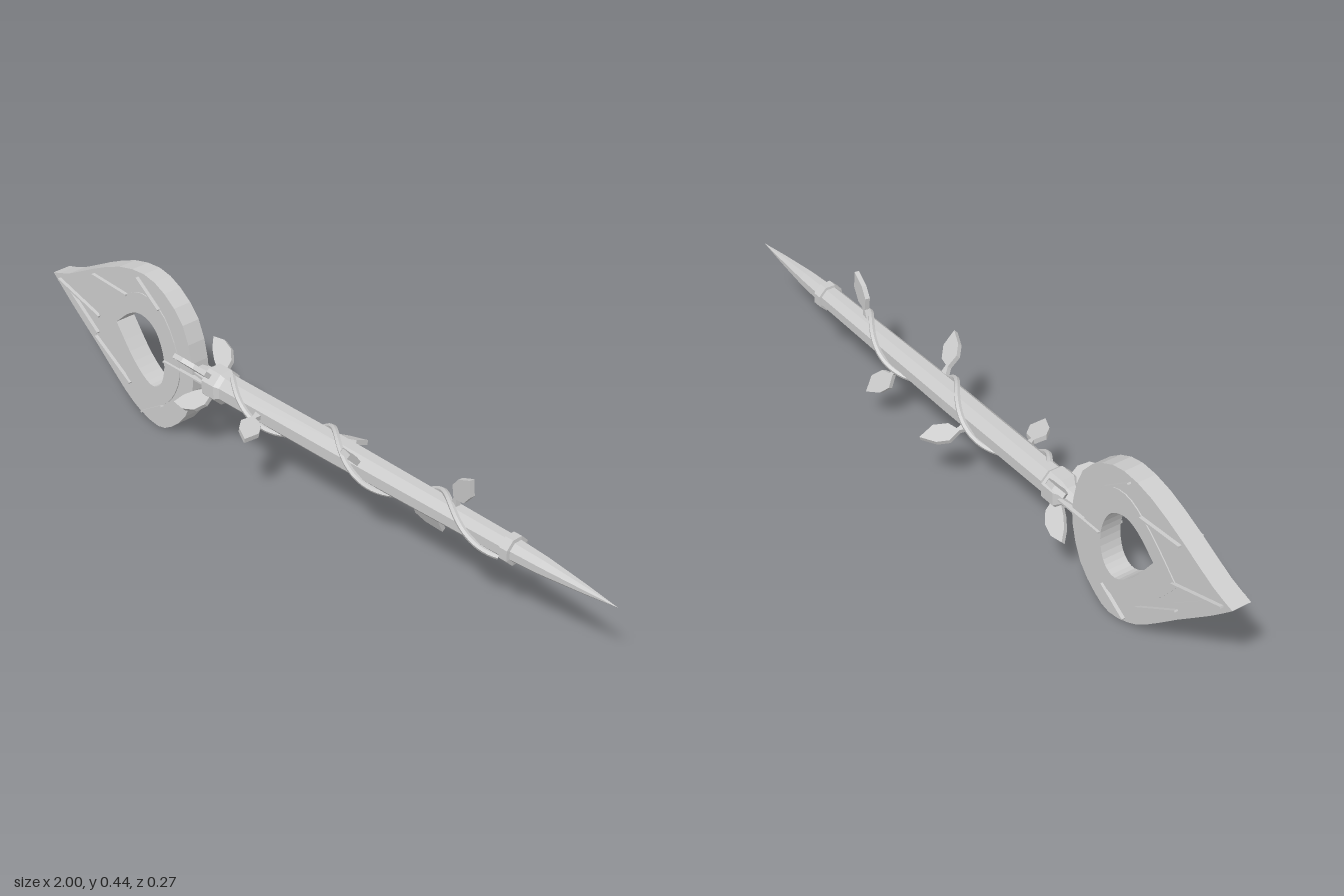
import * as THREE from 'three';

const AXIS_Y = 0.216, AXIS_Z = -0.005;

export function createModel() {
  const model = new THREE.Group();
  const grey = new THREE.MeshStandardMaterial({ color: 0xcccccc, flatShading: true });
  grey.name = 'lightGrey';

  const add = (parent, name, geometry) => {
    const mesh = new THREE.Mesh(geometry, grey);
    mesh.name = name;
    parent.add(mesh);
    return mesh;
  };
  // extrusion centred on its own plane
  const slab = (shape, depth) =>
    new THREE.ExtrudeGeometry(shape, { depth, bevelEnabled: false }).translate(0, 0, -depth / 2);
  const vec = ([x, y]) => new THREE.Vector2(x, y);
  // closed smooth outline, counter-clockwise, with one sharp corner at its first point
  const teardrop = (pts) =>
    new THREE.SplineCurve([...pts, pts[0]].map(vec)).getPoints(32).slice(0, -1).reverse();

  // Head: outer blade ring, slightly raised inner ring, open centre
  const outer = teardrop([[-1, 0.297], [-0.93, 0.32], [-0.82, 0.377], [-0.71, 0.425], [-0.61, 0.441],
    [-0.53, 0.415], [-0.46, 0.35], [-0.428, 0.25], [-0.428, 0.17], [-0.46, 0.08], [-0.52, 0.022],
    [-0.575, 0], [-0.645, 0.017], [-0.71, 0.055], [-0.82, 0.147], [-0.93, 0.235]]);
  const middle = teardrop([[-0.815, 0.238], [-0.71, 0.335], [-0.62, 0.382], [-0.53, 0.345],
    [-0.475, 0.22], [-0.51, 0.115], [-0.59, 0.062], [-0.69, 0.1]]);
  const hole = teardrop([[-0.73, 0.255], [-0.67, 0.305], [-0.617, 0.318], [-0.565, 0.29],
    [-0.537, 0.217], [-0.55, 0.145], [-0.595, 0.12], [-0.66, 0.165]]);
  const ring = (outline, inner) => {
    const shape = new THREE.Shape(outline);
    shape.holes.push(new THREE.Path(inner));
    return shape;
  };
  const head = new THREE.Group();
  head.name = 'head';
  head.position.z = AXIS_Z;
  model.add(head);
  add(head, 'outerRing', slab(ring(outer, middle), 0.054));
  add(head, 'innerRing', slab(ring(middle, hole), 0.06));

  // Thin ribs crossing the head, standing proud of both faces
  const ribs = [
    [[-0.97, 0.291], [-0.8, 0.243]],
    [[-0.82, 0.362], [-0.68, 0.355]], [[-0.635, 0.424], [-0.55, 0.362]],
    [[-0.82, 0.176], [-0.68, 0.09]], [[-0.635, 0.022], [-0.55, 0.075]],
    [[-0.93, 0.28], [-0.81, 0.19]], [[-0.535, 0.217], [-0.38, 0.217]],
  ];
  for (const [a, b] of ribs) {
    const d = vec(b).sub(vec(a));
    for (const side of [1, -1]) {
      const rib = add(head, 'headRib', new THREE.BoxGeometry(d.length(), 0.005, 0.014));
      rib.position.set((a[0] + b[0]) / 2, (a[1] + b[1]) / 2, side * 0.03);
      rib.rotation.z = d.angle();
    }
  }

  // Everything turned or wound about the long axis
  const staff = new THREE.Group();
  staff.name = 'staff';
  staff.position.set(0, AXIS_Y, AXIS_Z);
  model.add(staff);
  // profile points are [x along staff, radius]
  const turned = (name, profile) =>
    add(staff, name, new THREE.LatheGeometry(profile.map(([x, r]) => new THREE.Vector2(r, x)), 8, Math.PI / 8)
      .rotateZ(-Math.PI / 2));
  turned('shaft', [[-0.37, 0], [-0.37, 0.039], [0.1, 0.039], [0.68, 0.031], [0.68, 0]]);
  turned('headCollar', [[-0.43, 0], [-0.43, 0.022], [-0.385, 0.03], [-0.37, 0.048], [-0.325, 0.048], [-0.31, 0.037]]);
  turned('spike', [[0.67, 0.03], [0.78, 0.024], [0.9, 0.012], [1, 0]]);
  turned('spikeCollar', [[0.665, 0.028], [0.667, 0.038], [0.692, 0.038], [0.694, 0.026]]);

  // Vine wound round the shaft
  const path = [];
  for (let i = 0; i <= 60; i++) {
    const x = -0.3 + 0.945 * i / 60;
    const turn = 2 * Math.PI * (x - 0.085) / 0.385;
    const r = x > 0.1 ? 0.043 - (x - 0.1) * 0.013 : 0.043;
    path.push(new THREE.Vector3(x, r * Math.cos(turn), r * Math.sin(turn)));
  }
  add(staff, 'vine', new THREE.TubeGeometry(new THREE.CatmullRomCurve3(path), 90, 0.008, 6));

  // Leaves stand out from the axis; angle runs from front (0) to top (90)
  const radialLeaf = (name, outline, x, degrees, twist) => {
    const leaf = add(staff, name, slab(new THREE.Shape(outline.map(vec)), 0.013));
    leaf.position.x = x;
    leaf.rotation.set(THREE.MathUtils.degToRad(90 - degrees), twist, 0);
  };
  const leafOutline = [[-0.01, 0.035], [0.012, 0.035], [0.012, 0.055], [0.04, 0.06], [0.066, 0.09],
    [0.064, 0.136], [0.02, 0.116], [-0.002, 0.09], [0.002, 0.055]];
  const leaves = [[-0.165, 2], [0.0, 203], [0.172, 45], [0.33, 244], [0.492, 88]];
  for (const [x, degrees] of leaves) radialLeaf('vineLeaf', leafOutline, x, degrees, -0.14);

  const sepalOutline = [[-0.35, 0.03], [-0.352, 0.066], [-0.375, 0.092], [-0.41, 0.104],
    [-0.448, 0.099], [-0.43, 0.07], [-0.405, 0.047], [-0.38, 0.03]];
  for (let i = 0; i < 4; i++) radialLeaf('headLeaf', sepalOutline, 0, 45 + 90 * i, 0);

  return model;
}
